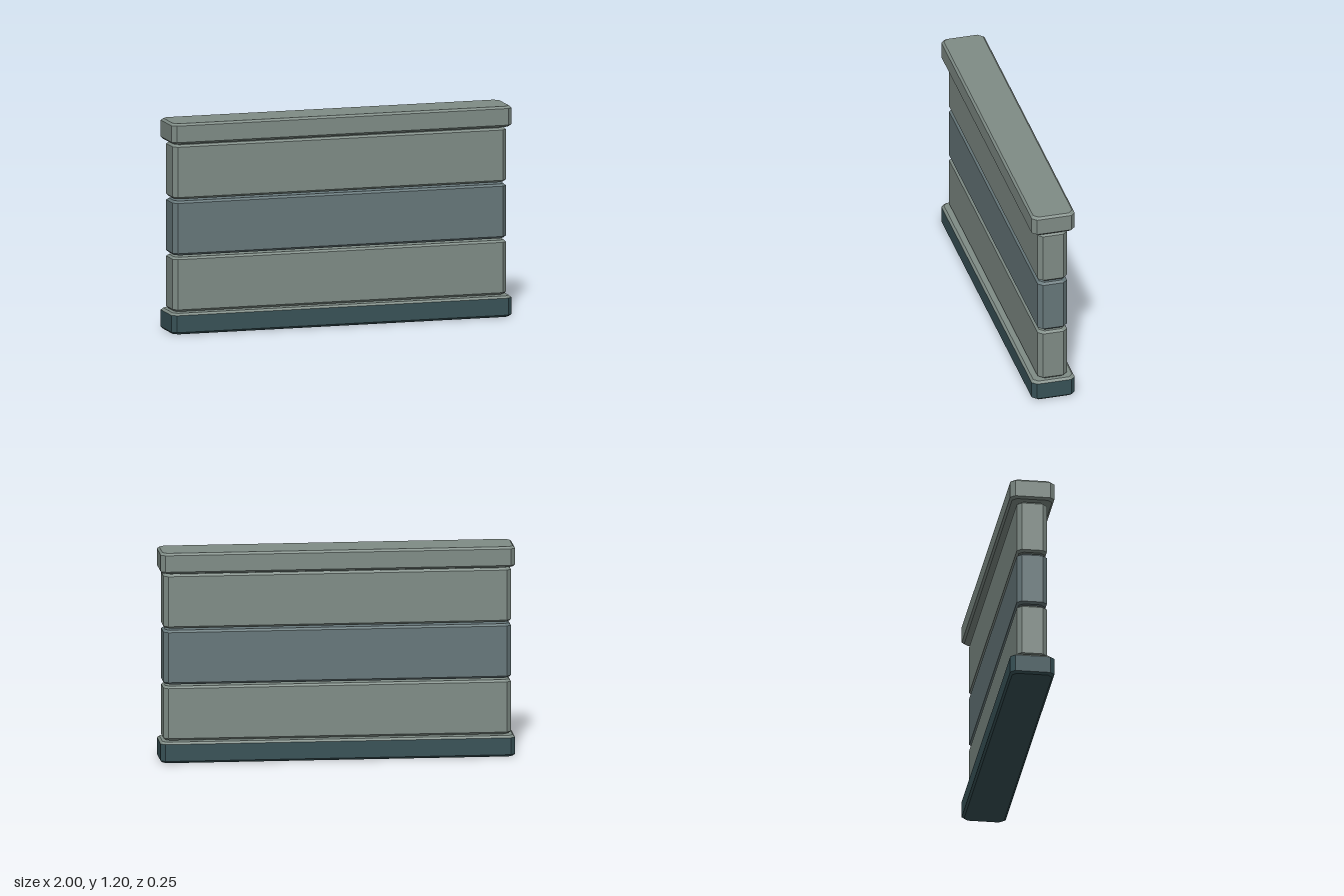
import * as THREE from 'three';

const LIGHT = 0x7f8c86, MID = 0x66777a, DARK = 0x385257;
const BEVEL = 0.012, CORNER = 0.025;

// Eight-sided outline of a rectangle with cut corners, running from +x towards +z
function outline(hx, hz, y) {
  const c = CORNER;
  return [
    [hx, hz - c], [hx - c, hz], [c - hx, hz], [-hx, hz - c],
    [-hx, c - hz], [c - hx, -hz], [hx - c, -hz], [hx, c - hz],
  ].map(([x, z]) => [x, y, z]);
}

// Closed solid through stacked outlines; each level is [y, inset]
function slab(name, color, hx, hz, levels) {
  const rings = levels.map(([y, inset]) => outline(hx - inset, hz - inset, y));
  const pos = [];
  const tri = (a, b, c) => pos.push(...a, ...b, ...c);
  for (let k = 0; k < rings.length - 1; k++) {
    const lo = rings[k], up = rings[k + 1];
    for (let j = 0; j < 8; j++) {
      const n = (j + 1) % 8;
      tri(lo[j], up[j], lo[n]);
      tri(lo[n], up[j], up[n]);
    }
  }
  const bottom = rings[0], top = rings[rings.length - 1];
  for (let j = 1; j < 7; j++) {
    tri(bottom[0], bottom[j], bottom[j + 1]);
    tri(top[0], top[j + 1], top[j]);
  }
  const geometry = new THREE.BufferGeometry();
  geometry.setAttribute('position', new THREE.Float32BufferAttribute(pos, 3));
  geometry.computeVertexNormals();
  const mesh = new THREE.Mesh(geometry, new THREE.MeshStandardMaterial({ color, flatShading: true }));
  mesh.name = name;
  return mesh;
}

// Slab bevelled along its top and bottom edges
const bevelled = (name, color, hx, hz, y0, y1) =>
  slab(name, color, hx, hz, [[y0, BEVEL], [y0 + BEVEL, 0], [y1 - BEVEL, 0], [y1, BEVEL]]);

export function createModel() {
  const wall = new THREE.Group();
  wall.name = 'wall';

  // Dark plinth with a pale bevelled top
  wall.add(slab('base', DARK, 1, 0.125, [[0, BEVEL], [BEVEL, 0], [0.12 - BEVEL, 0]]));
  wall.add(slab('baseTop', LIGHT, 1, 0.125, [[0.12 - BEVEL, 0], [0.12, BEVEL]]));

  // Three stacked panels with narrow gaps between them
  [['lowerPanel', LIGHT], ['middlePanel', MID], ['upperPanel', LIGHT]].forEach(([name, color], i) => {
    const y = 0.122 + i * 0.32;
    wall.add(bevelled(name, color, 0.98, 0.085, y, y + 0.31));
  });

  // Coping along the top
  wall.add(bevelled('cap', LIGHT, 1, 0.125, 1.082, 1.2));
  return wall;
}
